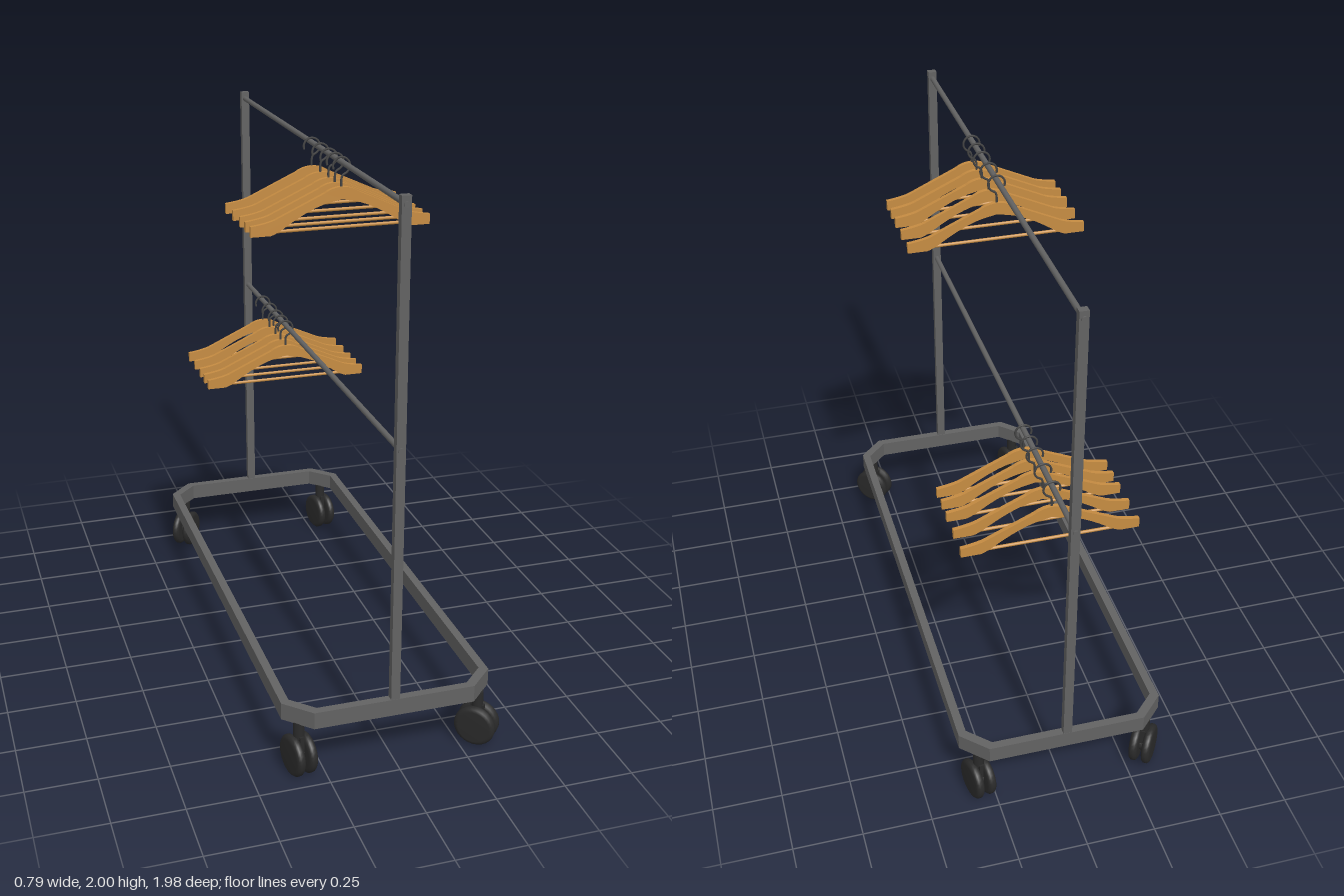
import * as THREE from 'three';

const CX = -0.01; // centre line of the rack
const metal = new THREE.MeshStandardMaterial({ color: 0x626262 });
const wood = new THREE.MeshStandardMaterial({ color: 0xc68c42 });
const rubber = new THREE.MeshStandardMaterial({ color: 0x2a2a2a });
const wire = new THREE.MeshStandardMaterial({ color: 0x444444 });

function add(parent, name, geometry, material, x = 0, y = 0, z = 0) {
  const mesh = new THREE.Mesh(geometry, material);
  mesh.name = name;
  mesh.position.set(x, y, z);
  parent.add(mesh);
  return mesh;
}

// Rectangle with cut corners, half sizes w and d
function octagon(w, d, c) {
  return [[w, d - c], [w - c, d], [c - w, d], [-w, d - c],
    [-w, c - d], [c - w, -d], [w - c, -d], [w, c - d]].map(p => new THREE.Vector2(...p));
}

// Base: one closed ring of square tube
function baseFrame() {
  const shape = new THREE.Shape(octagon(0.378, 0.968, 0.09));
  shape.holes.push(new THREE.Path(octagon(0.348, 0.938, 0.077)));
  const geo = new THREE.ExtrudeGeometry(shape, { depth: 0.062, bevelEnabled: false });
  return geo.rotateX(-Math.PI / 2);
}

// Twin-wheel caster, axle along local x, rolling along local z
function caster() {
  const g = new THREE.Group();
  g.name = 'caster';
  const profile = [[0, -0.0165], [0.058, -0.0165], [0.068, -0.013], [0.074, -0.006],
    [0.074, 0.006], [0.068, 0.013], [0.058, 0.0165], [0, 0.0165]].map(p => new THREE.Vector2(...p));
  const wheelGeo = new THREE.LatheGeometry(profile, 28).rotateZ(Math.PI / 2);
  for (const s of [-1, 1]) add(g, 'wheel', wheelGeo, rubber, s * 0.0235, 0.074, 0);
  add(g, 'axle', new THREE.CylinderGeometry(0.03, 0.03, 0.02, 16).rotateZ(Math.PI / 2), rubber, 0, 0.074, 0);
  add(g, 'bracket', new THREE.BoxGeometry(0.016, 0.08, 0.05), rubber, 0, 0.11, 0);
  add(g, 'stem', new THREE.CylinderGeometry(0.02, 0.02, 0.062, 16), rubber, 0, 0.171, 0);
  return g;
}

// Wooden shoulders: half outline mirrored about the middle
function shoulders() {
  const s = new THREE.Shape();
  s.moveTo(0, -0.084);
  s.quadraticCurveTo(0.035, -0.085, 0.06, -0.103);
  s.lineTo(0.225, -0.178);
  s.quadraticCurveTo(0.25, -0.192, 0.32, -0.2);
  s.lineTo(0.32, -0.236);
  s.lineTo(0.25, -0.236);
  s.quadraticCurveTo(0.225, -0.228, 0.2, -0.21);
  s.quadraticCurveTo(0.11, -0.15, 0.045, -0.136);
  s.lineTo(0, -0.127);
  const half = s.getPoints(6);
  const mirrored = half.slice(1, -1).reverse().map(p => new THREE.Vector2(-p.x, p.y));
  const geo = new THREE.ExtrudeGeometry(new THREE.Shape([...half, ...mirrored]),
    { depth: 0.016, bevelEnabled: false });
  return geo.translate(0, 0, -0.008);
}

// Wire hook: a stem that curls over the rail
function hookGeometry() {
  const pts = [[0, -0.1], [0, -0.06], [0.004, -0.047]];
  for (let i = 0; i <= 10; i++) {
    const a = -0.9 + (i / 10) * 4.4;
    pts.push([0.03 * Math.cos(a), -0.014 + 0.03 * Math.sin(a)]);
  }
  const curve = new THREE.CatmullRomCurve3(pts.map(p => new THREE.Vector3(p[0], p[1], 0)));
  return new THREE.TubeGeometry(curve, 36, 0.004, 6);
}

export function createModel() {
  const model = new THREE.Group();
  model.name = 'clothesRack';

  add(model, 'baseFrame', baseFrame(), metal, CX, 0.2, 0);

  // Uprights at both ends
  for (const s of [-1, 1])
    add(model, 'upright', new THREE.BoxGeometry(0.032, 1.795, 0.026), metal, CX, 1.1025, s * 0.954);

  // Two hanging rails
  const railHeights = [1.973, 1.176];
  for (const y of railHeights)
    add(model, 'rail', new THREE.CylinderGeometry(0.01, 0.01, 1.944, 16).rotateX(Math.PI / 2), metal, CX, y, 0);

  // Casters, each swivelled its own way: x, z, rolling direction x, z
  const casters = [[-0.325, -0.913, 0.57, -0.82], [0.305, -0.913, 0.22, 0.97],
    [-0.335, 0.908, 0.22, 0.97], [0.318, 0.91, 0.75, 0.65]];
  for (const [x, z, dx, dz] of casters) {
    const c = caster();
    c.position.set(x, 0, z);
    c.rotation.y = Math.atan2(dx, dz);
    model.add(c);
  }

  // Hangers in two bunches of five
  const shoulderGeo = shoulders();
  const hookGeo = hookGeometry();
  const barGeo = new THREE.CylinderGeometry(0.006, 0.006, 0.53, 8).rotateZ(Math.PI / 2);
  const bunches = [[0.338, 0.268, 0.195, 0.1, -0.004], [-0.365, -0.436, -0.508, -0.604, -0.708]];
  bunches.forEach((bunch, i) => {
    for (const z of bunch) {
      const h = new THREE.Group();
      h.name = 'hanger';
      h.position.set(CX, railHeights[i], z);
      add(h, 'shoulders', shoulderGeo, wood);
      add(h, 'trouserBar', barGeo, wood, 0, -0.224, 0);
      add(h, 'hook', hookGeo, wire);
      model.add(h);
    }
  });

  return model;
}
